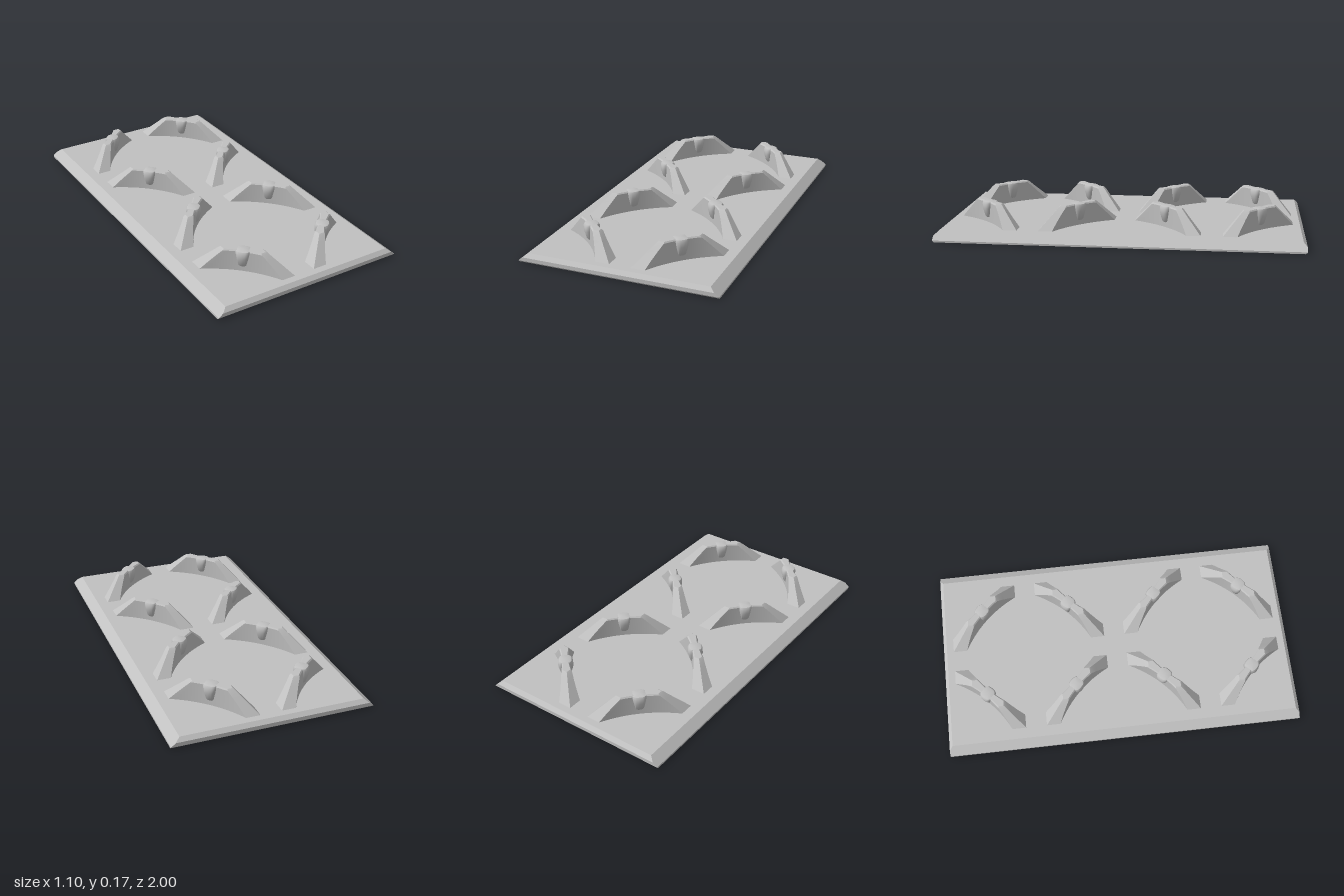
import * as THREE from 'three';
import { toCreasedNormals } from 'three/addons/utils/BufferGeometryUtils.js';

// Solid from stacked rings of [x, y, z], each counter-clockwise seen from above
function loft(rings, crease) {
  const n = rings[0].length, pos = [];
  const tri = (a, b, c) => pos.push(...a, ...b, ...c);
  for (let r = 0; r < rings.length - 1; r++) {
    const lo = rings[r], hi = rings[r + 1];
    for (let i = 0; i < n; i++) {
      const j = (i + 1) % n;
      tri(lo[i], lo[j], hi[j]);
      tri(lo[i], hi[j], hi[i]);
    }
  }
  const bottom = rings[0], top = rings[rings.length - 1];
  const bottomMid = [0, bottom[0][1], 0], topMid = [0, top[0][1], 0];
  for (let i = 0; i < n; i++) {
    const j = (i + 1) % n;
    tri(topMid, top[i], top[j]);
    tri(bottomMid, bottom[j], bottom[i]);
  }
  const geo = new THREE.BufferGeometry();
  geo.setAttribute('position', new THREE.Float32BufferAttribute(pos, 3));
  geo.computeVertexNormals();
  return toCreasedNormals(geo, crease);
}

// Rib outline: pointed ends, flared corners and concave flanks
function ribRing(y, tip, inset) {
  const halfWidth = v => 0.02 + 0.75 * v * v - inset;
  let corner = tip;
  for (let k = 0; k < 20; k++) corner = tip - halfWidth(corner);
  const steps = 12, ring = [];
  for (const s of [1, -1]) {
    ring.push([s * tip, y, 0]);
    for (let i = 0; i <= steps; i++) {
      const v = corner * (1 - 2 * i / steps);
      ring.push([s * v, y, -s * halfWidth(v)]);
    }
  }
  return ring;
}

// Rounded oblong outline of the gripping pad
function padRing([y, a, b]) {
  const ring = [];
  for (let i = 0; i < 20; i++) {
    const t = i / 20 * Math.PI * 2, c = Math.cos(t), s = Math.sin(t);
    ring.push([a * Math.sign(c) * Math.pow(Math.abs(c), 0.7), y, -b * Math.sign(s) * Math.pow(Math.abs(s), 0.7)]);
  }
  return ring;
}

export function createModel() {
  const model = new THREE.Group();
  const grey = new THREE.MeshStandardMaterial({ color: 0xc0c0c0 });
  grey.name = 'light grey';

  const add = (parent, name, geo) => {
    const mesh = new THREE.Mesh(geo, grey);
    mesh.name = name;
    parent.add(mesh);
  };

  // Base plate: sloped long sides, small bevels on the short ends
  const plate = [[0, 0.55, 0.99], [0.01, 0.55, 1], [0.03, 0.525, 1], [0.05, 0.5, 0.98]];
  add(model, 'basePlate', loft(plate.map(([y, x, z]) => [[x, y, z], [x, y, -z], [-x, y, -z], [-x, y, z]]), 0.1));

  // Ribs taper upwards, with a softened top edge
  const ribGeo = loft([
    ribRing(0.05, 0.27, 0), ribRing(0.09, 0.22, 0), ribRing(0.13, 0.17, 0),
    ribRing(0.163, 0.13, 0), ribRing(0.17, 0.118, 0.006),
  ], 0.4);

  // Pads bulge from both flanks near the top
  const padGeo = loft([
    [0.07, 0.018, 0.014], [0.085, 0.025, 0.028], [0.13, 0.034, 0.041],
    [0.158, 0.039, 0.04], [0.168, 0.037, 0.034], [0.171, 0.03, 0.024],
  ].map(padRing), 0.7);

  // Four rows of mirrored diagonal ribs
  [-0.75, -0.25, 0.25, 0.75].forEach((z, row) => {
    for (const side of [1, -1]) {
      const holder = new THREE.Group();
      holder.name = (side > 0 ? 'leftRib' : 'rightRib') + (row + 1);
      holder.position.set(side * 0.25, 0, z);
      holder.rotation.y = side * (row % 2 ? 1 : -1) * Math.PI / 4;
      add(holder, 'rib', ribGeo);
      add(holder, 'gripPad', padGeo);
      model.add(holder);
    }
  });
  return model;
}
